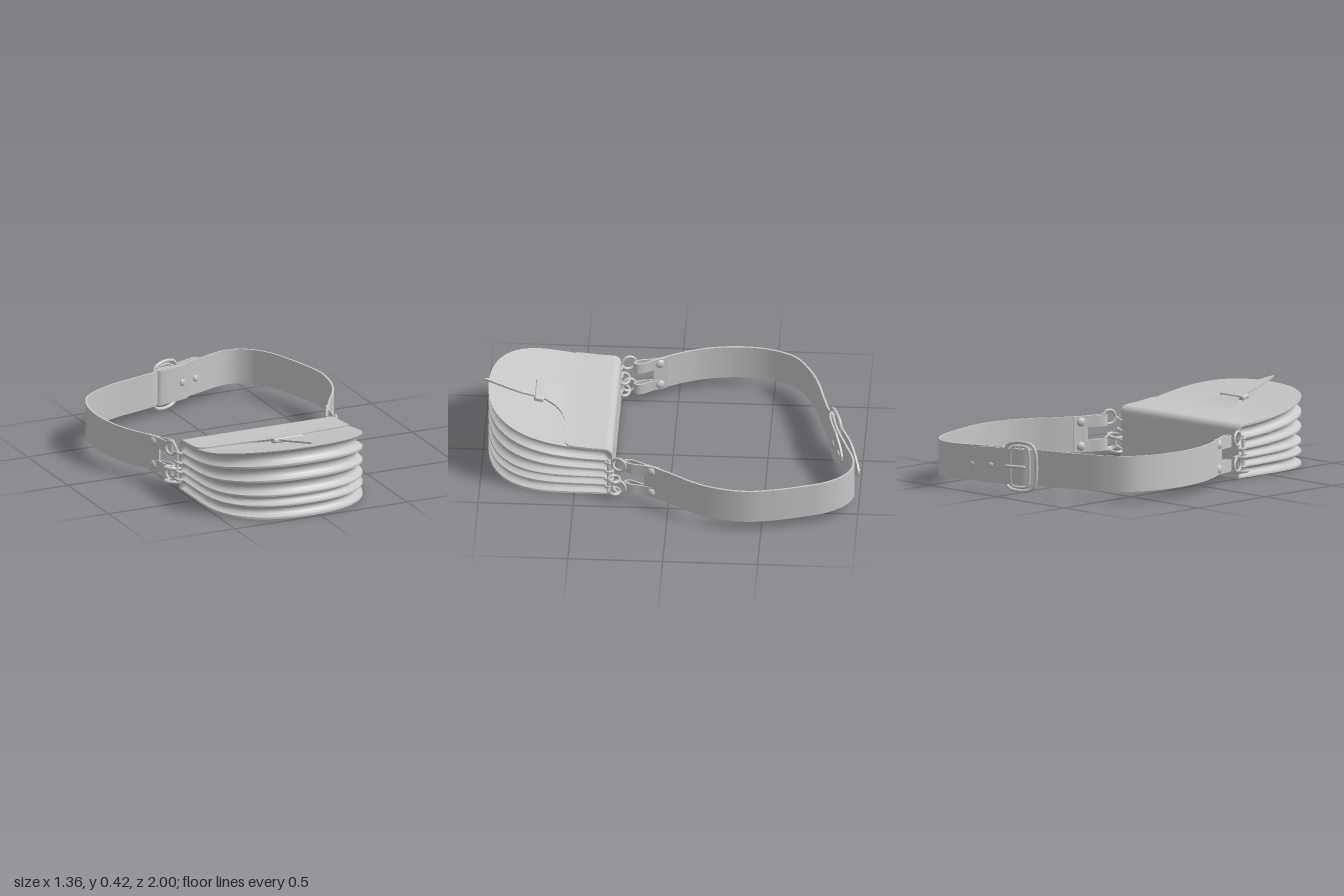
import * as THREE from 'three';
import { toCreasedNormals } from 'three/addons/utils/BufferGeometryUtils.js';
import { RoundedBoxGeometry } from 'three/addons/geometries/RoundedBoxGeometry.js';

const CX = -0.055, HALF = 0.44, BACK = 0.3;
const V = (x, y, z) => new THREE.Vector3(x, y, z);

// Skin a stack of equal-length loops and close both ends with strips
function loft(loops, crease = 0.6) {
  const n = loops[0].length, all = loops.flat(), idx = [];
  const quad = (a, b, c, d) => idx.push(a, b, c, a, c, d);
  for (let r = 0; r < loops.length - 1; r++)
    for (let i = 0; i < n; i++) {
      const j = (i + 1) % n, a = r * n, b = a + n;
      quad(a + i, a + j, b + j, b + i);
    }
  const e = (loops.length - 1) * n;
  for (let i = 0; i < n / 2 - 1; i++) {
    quad(n - 1 - i, n - 2 - i, i + 1, i);
    quad(e + i, e + i + 1, e + n - 2 - i, e + n - 1 - i);
  }
  // turn the faces outward if the enclosed volume is negative
  let vol = 0;
  for (let i = 0; i < idx.length; i += 3)
    vol += all[idx[i]].dot(V(0, 0, 0).crossVectors(all[idx[i + 1]], all[idx[i + 2]]));
  if (vol < 0) idx.reverse();
  const g = new THREE.BufferGeometry().setFromPoints(all);
  g.setIndex(idx);
  return toCreasedNormals(g, crease);
}

// Upright leather band along a path of [x, z] points; shape(t) gives [centre y, half height]
function band(path, shape, thick = 0.011, n = 90) {
  const curve = new THREE.CatmullRomCurve3(path.map(([x, z]) => V(x, 0, z)), false, 'centripetal');
  const rows = [];
  for (let i = 0; i <= n; i++) {
    const t = i / n, p = curve.getPointAt(t), d = curve.getTangentAt(t), [y, h] = shape(t);
    const nx = -d.z * thick / 2, nz = d.x * thick / 2;
    rows.push([V(p.x - nx, y - h, p.z - nz), V(p.x + nx, y - h, p.z + nz),
      V(p.x + nx, y + h, p.z + nz), V(p.x - nx, y + h, p.z - nz)]);
  }
  return loft(rows);
}

// Bag outline and pleat heights
const FRONT_Y = [0.006, 0.073, 0.129, 0.213, 0.297, 0.385];
const BACK_Y = [0.006, 0.06, 0.105, 0.155, 0.21, 0.277];
const halfWidth = z => HALF * Math.pow(1 - Math.pow(Math.max(0, (z - 0.5) / 0.475), 3.2), 1 / 2.2);
function levelY(k, z) {
  const t = (z - BACK) / 0.675, s = t * t * (1.4 - 0.4 * t * t);
  let y = BACK_Y[k] + (FRONT_Y[k] - BACK_Y[k]) * s;
  if (k === 5 && z < 0.34) y -= 0.04 * (1 - Math.sqrt(Math.max(0, 1 - ((0.34 - z) / 0.04) ** 2)));
  return y;
}
// Pleat cross-section from one ridge to the next: [fraction of height, inset]
const PLEAT = [[0, 0], [0.08, 0.001], [0.15, 0.014], [0.26, 0.024], [0.4, 0.03], [0.55, 0.031], [0.7, 0.027],
  [0.83, 0.018], [0.93, 0.001]];
function bagGeometry() {
  const zs = [0.3, 0.302, 0.308, 0.318, 0.33, 0.345, 0.4, 0.45];
  for (let a = 0; a <= 88; a += 4) zs.push(0.5 + 0.475 * Math.sin(a * Math.PI / 180));
  const row = (k, f, inset) => {
    const side = s => zs.map(z => {
      const q = inset * THREE.MathUtils.smoothstep(z, 0.3, 0.345);
      const y = f ? levelY(k, z) * (1 - f) + levelY(k + 1, z) * f : levelY(k, z);
      return V(CX + s * halfWidth(z) * (1 - q / HALF), y, BACK + (z - BACK) * (1 - q / 0.67));
    });
    return [...side(1), ...side(-1).reverse()];
  };
  const rows = [row(0, 0, 0).map(p => p.setY(0))];
  for (let k = 0; k < 5; k++)
    for (const [f, q] of PLEAT) rows.push(row(k, f, q));
  rows.push(row(5, 0, 0));
  return loft(rows, 0.7);
}

// Short top flap narrowing into a pointed tongue: [z, half width]
const FLAP = [[0.3, 0.44], [0.302, 0.44], [0.308, 0.44], [0.318, 0.44], [0.33, 0.44], [0.345, 0.44], [0.42, 0.44],
  [0.5, 0.44], [0.53, 0.437], [0.545, 0.42], [0.551, 0.39], [0.556, 0.3], [0.565, 0.2], [0.58, 0.145], [0.6, 0.112],
  [0.63, 0.085], [0.67, 0.066], [0.73, 0.06], [0.79, 0.058], [0.85, 0.046], [0.91, 0.03], [0.96, 0.015], [1, 0.001]];
function flapGeometry() {
  return loft(FLAP.map(([z, w]) => {
    const y = levelY(5, z) + 0.018 * THREE.MathUtils.smoothstep(z, 0.56, 0.72);
    return [V(CX - w, y - 0.002, z), V(CX + w, y - 0.002, z), V(CX + w, y + 0.008, z), V(CX - w, y + 0.008, z)];
  }));
}

// Rounded rectangular wire frame in the local xy plane
function frameGeometry(w, h, r, wire) {
  const pts = [];
  for (const [sx, sy, a0] of [[1, 1, 0], [-1, 1, 90], [-1, -1, 180], [1, -1, 270]])
    for (const a of [0, 45, 90]) {
      const q = (a0 + a) * Math.PI / 180;
      pts.push(V(sx * (w / 2 - r) + r * Math.cos(q), sy * (h / 2 - r) + r * Math.sin(q), 0));
    }
  return new THREE.TubeGeometry(new THREE.CatmullRomCurve3(pts, true, 'centripetal'), 64, wire, 8, true);
}

export function createModel() {
  const model = new THREE.Group();
  const grey = new THREE.MeshStandardMaterial({ color: 0xc8c8c8 });
  grey.name = 'lightGrey';
  const add = (name, geo, parent = model, pos = [0, 0, 0], rot = [0, 0, 0]) => {
    const m = new THREE.Mesh(geo, grey);
    m.name = name;
    m.position.set(...pos);
    m.rotation.set(...rot);
    parent.add(m);
    return m;
  };
  const stud = (name, r, depth, parent, pos, yaw) => {
    add(name, new THREE.SphereGeometry(r, 16, 10), parent, pos, [0, yaw, 0]).scale.z = depth / r;
  };

  // Bag
  add('pleatedBody', bagGeometry());
  add('flapWithTongue', flapGeometry());
  add('tongueKeeper', new RoundedBoxGeometry(0.175, 0.026, 0.052, 3, 0.009), model,
    [CX - 0.003, levelY(5, 0.705) + 0.018, 0.705], [-0.22, 0, 0]);

  // Strap halves
  const Y = 0.147, H = 0.095;
  const tip = (len, t) => H * Math.max(0.12, Math.min(1, Math.pow(Math.max(0, 1 - t) / len, 0.55)));
  add('strapTipHalf', band([[-0.538, 0.115], [-0.6, 0], [-0.65, -0.13], [-0.677, -0.3], [-0.662, -0.47], [-0.6, -0.61],
    [-0.5, -0.685], [-0.38, -0.74], [-0.2, -0.79], [-0.12, -0.815], [-0.06, -0.857], [0.05, -0.893], [0.2, -0.953],
    [0.33, -0.998]], t => [Y, tip(0.09, t)], 0.011, 130));
  add('strapBuckleHalf', band([[0.462, 0.1], [0.53, -0.02], [0.6, -0.13], [0.65, -0.25], [0.675, -0.42], [0.65, -0.58],
    [0.61, -0.72], [0.57, -0.83], [0.5, -0.925], [0.42, -0.968], [0.34, -0.967], [0.2, -0.918], [0.05, -0.866],
    [-0.075, -0.838]], () => [Y, H]));
  add('strapFold', band([[-0.075, -0.838], [-0.087, -0.828], [-0.07, -0.824], [0.05, -0.849], [0.2, -0.902]],
    t => [Y, tip(0.35, t)], 0.01, 40));

  // Buckle, its pin, and the fittings on the overlapping ends
  const SLANT = 0.357;
  const buckle = new THREE.Group();
  buckle.name = 'buckle';
  buckle.position.set(-0.035, Y, -0.857);
  buckle.rotation.y = SLANT;
  model.add(buckle);
  add('buckleFrame', frameGeometry(0.175, 0.255, 0.055, 0.01), buckle);
  add('buckleInnerFrame', frameGeometry(0.1, 0.215, 0.02, 0.007), buckle, [0, 0, -0.008]);
  add('bucklePin', new THREE.CapsuleGeometry(0.009, 0.1, 4, 8), buckle, [0.025, 0, -0.014], [0, 0, Math.PI / 2]);
  for (const [x, z] of [[0.065, -0.848], [0.155, -0.879]]) stud('foldRivet', 0.019, 0.01, model, [x, Y, z], SLANT);
  for (const [x, z] of [[0.12, -0.925], [0.22, -0.963]]) stud('strapHole', 0.015, 0.008, model, [x, Y, z], SLANT);

  // Forked strap ends, rivets and rings on both sides
  for (const { name, root, end, s } of [
    { name: 'right', root: [-0.545, 0.1], end: [-0.497, 0.225], s: -1 },
    { name: 'left', root: [0.469, 0.087], end: [0.42, 0.225], s: 1 }]) {
    const g = new THREE.Group();
    g.name = name + 'StrapFitting';
    model.add(g);
    const dx = end[0] - root[0], dz = end[1] - root[1], L = Math.hypot(dx, dz);
    const at = (t, o) => [root[0] + dx * t + o * dz / L, root[1] + dz * t - o * dx / L];
    const yaw = Math.atan2(dx, dz) + Math.PI / 2;

    // prongs folded back into teardrop loops
    for (const y of [0.082, 0.212]) {
      add('strapProng', band([at(-0.15, 0.003), at(0.3, 0.007), at(0.75, 0.018), at(0.95, 0.015), at(1.05, 0),
        at(0.95, -0.015), at(0.75, -0.018), at(0.3, -0.007), at(-0.15, -0.003)], () => [y, 0.03], 0.008, 40), g);
      stud('strapRivet', 0.027, 0.02, g, [root[0], y, root[1]], yaw);
    }
    add('strapForkWeb', band([at(-0.3, 0), at(0.28, 0)], () => [Y, H], 0.012, 4), g);

    // rings between the strap and the bag
    const ringX = (end[0] + CX + s * 0.47) / 2 + s * 0.015;
    for (const y of [0.082, 0.222])
      add('strapRing', new THREE.TorusGeometry(0.037, 0.008, 8, 28), g, [ringX, y, 0.262], [0, Math.PI / 2 - s * 0.35, 0]);
    for (const y of [0.045, 0.12])
      add('linkRing', new THREE.TorusGeometry(0.038, 0.009, 8, 28), g,
        [CX + s * 0.472, y, 0.288], [Math.PI / 2 - 0.1, s * 0.15, 0]).scale.set(1.1, 0.8, 1);
    for (const y of [0.06, 0.105, 0.155, 0.21])
      add('pleatLoop', new THREE.TorusGeometry(0.021, 0.007, 8, 20), g, [CX + s * 0.448, y, 0.316], [Math.PI / 2, s * 0.3, 0]);
    add('ringBar', new THREE.CapsuleGeometry(0.009, 0.17, 4, 8), g, [CX + s * 0.46, 0.14, 0.316]);
  }
  return model;
}
